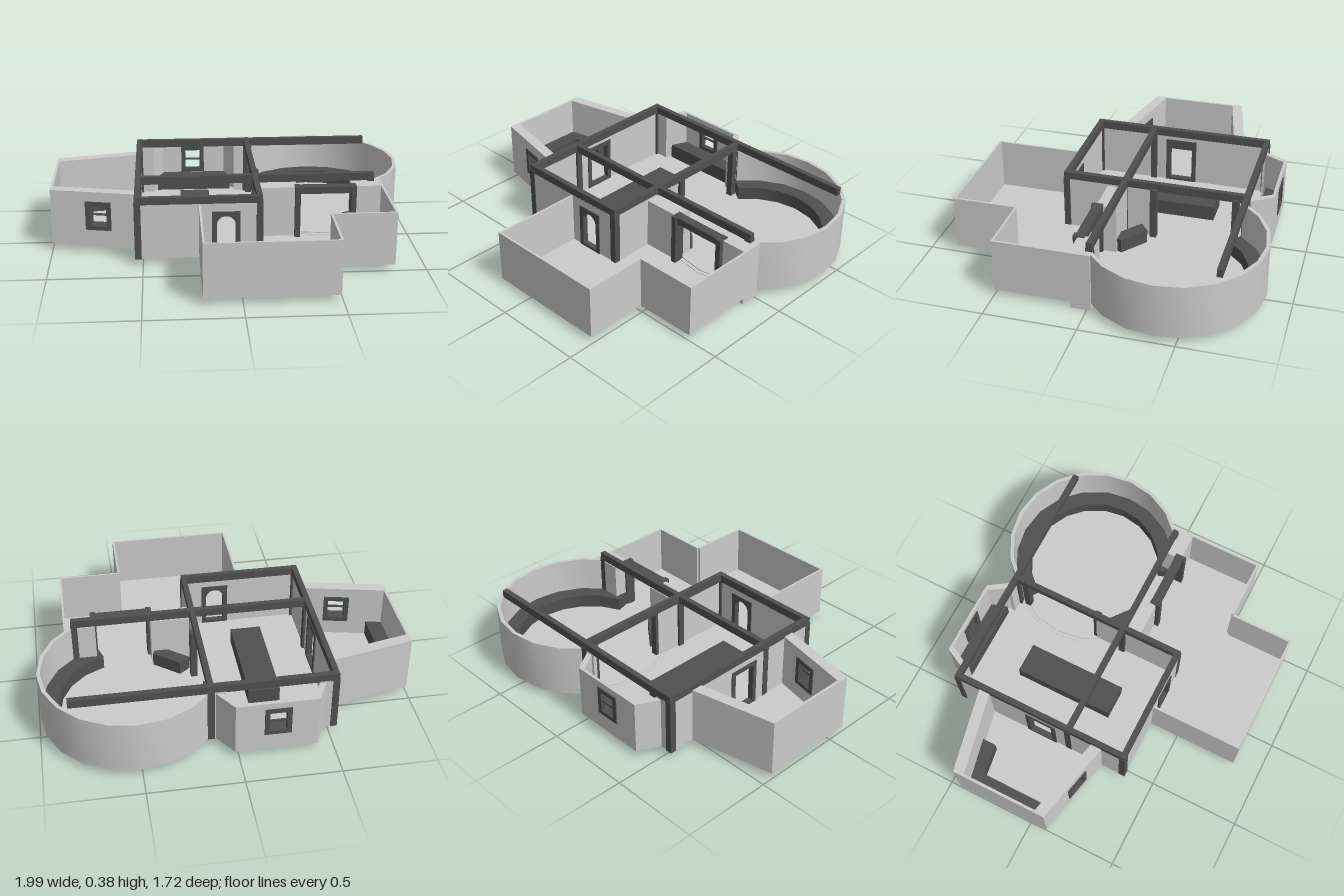
import * as THREE from 'three';
import { toCreasedNormals } from 'three/addons/utils/BufferGeometryUtils.js';

const light = new THREE.MeshStandardMaterial({ color: 0xcccccc });
const dark = new THREE.MeshStandardMaterial({ color: 0x505050 });
const BASE = 0.035, TOP = 0.33;
const RX = 0.51, RZ = -0.385; // centre of the round room

export function createModel() {
  const model = new THREE.Group();

  const add = (name, geometry, material, parent = model) => {
    const mesh = new THREE.Mesh(geometry, material);
    mesh.name = name;
    parent.add(mesh);
    return mesh;
  };

  // Box from its limits on each axis
  const box = (name, x0, x1, y0, y1, z0, z1, material) => {
    add(name, new THREE.BoxGeometry(x1 - x0, y1 - y0, z1 - z0), material)
      .position.set((x0 + x1) / 2, (y0 + y1) / 2, (z0 + z1) / 2);
  };

  // Plan outline of [x, z] points raised from y0 to y1
  const slab = (name, points, y0, y1, material) => {
    const shape = new THREE.Shape(points.map(([x, z]) => new THREE.Vector2(x, -z)));
    const g = new THREE.ExtrudeGeometry(shape, { depth: y1 - y0, bevelEnabled: false });
    g.rotateX(-Math.PI / 2).translate(0, y0, 0);
    add(name, toCreasedNormals(g, 0.5), material);
  };

  // Points of an arc about the round room, in degrees from +x towards +z
  const arc = (r, a0, a1, n) => Array.from({ length: n + 1 }, (_, i) => {
    const a = THREE.MathUtils.degToRad(a0 + (a1 - a0) * i / n);
    return [RX + r * Math.cos(a), RZ + r * Math.sin(a)];
  });
  const ring = (name, r0, r1, a0, a1, n, y0, y1, material) =>
    slab(name, [...arc(r1, a0, a1, n), ...arc(r0, a1, a0, n)], y0, y1, material);

  // Rectangle, or rectangle with a round head, drawn on a wall face
  const outline = (path, s0, s1, y0, y1, arched) => {
    const r = (s1 - s0) / 2;
    path.moveTo(s0, y0);
    path.lineTo(s1, y0);
    if (arched) path.absarc((s0 + s1) / 2, y1 - r, r, 0, Math.PI, false);
    else path.lineTo(s1, y1).lineTo(s0, y1);
    path.lineTo(s0, y0);
    return path;
  };

  // Straight wall along its outer face, thickened inwards, with an optional framed opening
  const wall = (name, [x0, z0], [x1, z1], thick, top, opening) => {
    const group = new THREE.Group();
    group.name = name;
    group.position.set(x0, 0, z0);
    group.rotation.y = -Math.atan2(z1 - z0, x1 - x0);
    model.add(group);
    const shape = outline(new THREE.Shape(), 0, Math.hypot(x1 - x0, z1 - z0), BASE, top);
    if (opening) {
      const { s0, s1, y0, y1, arched, sash } = opening;
      shape.holes.push(outline(new THREE.Path(), s0, s1, y0, y1, arched));
      const frame = outline(new THREE.Shape(), s0 - 0.01, s1 + 0.01, y0 - 0.008, y1 + 0.01);
      frame.holes.push(outline(new THREE.Path(), s0 + 0.015, s1 - 0.015, y0 + 0.015, y1 - 0.015, arched));
      const fg = new THREE.ExtrudeGeometry(frame, { depth: thick + 0.012, bevelEnabled: false });
      add('openingFrame', fg, dark, group).position.z = -0.006;
      if (sash) {
        add('windowBar', new THREE.BoxGeometry(s1 - s0, 0.01, 0.01), dark, group)
          .position.set((s0 + s1) / 2, (y0 + y1) / 2, thick / 2);
      }
    }
    add('wallPanel', new THREE.ExtrudeGeometry(shape, { depth: thick, bevelEnabled: false }), light, group);
  };

  // Floors
  const floor = (name, points) => slab(name, points, BASE, BASE + 0.01, light);
  floor('mainFloor', [[-0.54, -0.69], [0.14, -0.69], [0.14, 0.34], [-0.54, 0.34]]);
  floor('frontFloor', [[0.14, 0], [0.83, 0], [0.83, 0.5], [0.49, 0.5], [0.49, 0.85],
    [-0.2, 0.85], [-0.2, 0.34], [0.14, 0.34]]);
  floor('wingFloor', [[-1, -0.44], [-0.54, -0.54], [-0.54, 0.2], [-1, 0.1]]);
  floor('bayFloor', [[-0.47, -0.69], [-0.41, -0.81], [0.02, -0.81], [0.1, -0.69]]);
  slab('roundFloorEdge', arc(0.48, 0, 342, 19), BASE, BASE + 0.013, light);
  slab('roundFloor', arc(0.46, 0, 342, 19), BASE, BASE + 0.018, light);

  // Round room wall and curved benches
  ring('roundWall', 0.46, 0.48, -144, 54, 11, BASE, TOP, light);
  ring('roundBench', 0.375, 0.46, -144, 72, 12, BASE, 0.13, dark);
  ring('cornerBench', 0.375, 0.45, 115, 142, 1, BASE, 0.13, dark);

  // Front room walls
  const run = [[0.83, 0.08], [0.83, 0.5], [0.49, 0.5], [0.49, 0.85], [-0.2, 0.85], [-0.2, 0.34]];
  for (let i = 0; i < run.length - 1; i++) wall('frontRoomWall', run[i], run[i + 1], 0.012, TOP);

  // Tapered side wing with a window and an L-shaped bench
  wall('wingFrontWall', [-0.54, 0.2], [-1, 0.1], 0.06, 0.35,
    { s0: 0.143, s1: 0.266, y0: 0.14, y1: 0.285, sash: true });
  wall('wingEndWall', [-1, 0.1], [-1, -0.44], 0.015, 0.35);
  wall('wingBackWall', [-1, -0.44], [-0.54, -0.54], 0.06, 0.35);
  slab('wingBench', [[-0.985, -0.385], [-0.73, -0.44], [-0.73, -0.36], [-0.9, -0.335],
    [-0.9, 0.06], [-0.985, 0.045]], BASE, 0.13, dark);

  // Bay with a window and a bench
  wall('bayLeftWall', [-0.47, -0.69], [-0.41, -0.81], 0.03, TOP);
  wall('bayBackWall', [-0.41, -0.81], [0.02, -0.81], 0.015, TOP,
    { s0: 0.15, s1: 0.27, y0: 0.14, y1: 0.285, sash: true });
  wall('bayRightWall', [0.02, -0.81], [0.1, -0.69], 0.03, TOP);
  slab('bayBench', [[-0.42, -0.7], [-0.38, -0.79], [-0.005, -0.79], [0.025, -0.7]], BASE, 0.13, dark);

  // Main room walls
  wall('mainFrontWall', [0.14, 0.34], [-0.54, 0.34], 0.02, 0.34,
    { s0: 0.13, s1: 0.26, y0: 0.045, y1: 0.285, arched: true });
  wall('mainSideWall', [-0.54, 0.34], [-0.54, -0.69], 0.02, 0.34,
    { s0: 0.43, s1: 0.59, y0: 0.045, y1: 0.3 });
  wall('mainBackWall', [-0.54, -0.69], [-0.44, -0.69], 0.02, 0.34);
  wall('mainBackWall', [0.05, -0.69], [0.14, -0.69], 0.02, 0.34);
  wall('mainInnerWall', [0.14, -0.17], [0.14, 0.34], 0.02, 0.34);

  // Long counter
  box('counter', -0.285, -0.115, BASE, 0.13, -0.455, 0.11, dark);

  // Posts under the beams
  const posts = [[-0.525, -0.675], [-0.525, -0.005], [-0.525, 0.325], [0.125, -0.675],
    [0.125, -0.005], [0.125, 0.325], [0.14, -0.17], [0.135, -0.62], [0.775, -0.005]];
  for (const [x, z] of posts) box('post', x - 0.018, x + 0.018, BASE - 0.002, 0.35, z - 0.018, z + 0.018, dark);

  // Beams
  for (const x of [-0.525, 0.125]) box('longBeam', x - 0.015, x + 0.015, 0.335, 0.38, -0.69, 0.34, dark);
  for (const [z, x1] of [[-0.675, 0.845], [-0.005, 0.79], [0.325, 0.14]]) {
    box('crossBeam', -0.54, x1, 0.335, 0.379, z - 0.015, z + 0.015, dark);
  }

  // Doorway between the round room and the front room
  box('doorPier', 0.13, 0.355, 0, TOP, -0.02, 0.09, light);
  box('doorPier', 0.66, 0.83, 0, TOP, -0.02, 0.09, light);
  box('doorLintel', 0.34, 0.68, 0.295, 0.335, 0.055, 0.105, dark);
  for (const x of [0.34, 0.65]) box('doorPost', x, x + 0.03, BASE, 0.336, 0.053, 0.115, dark);

  return model;
}
